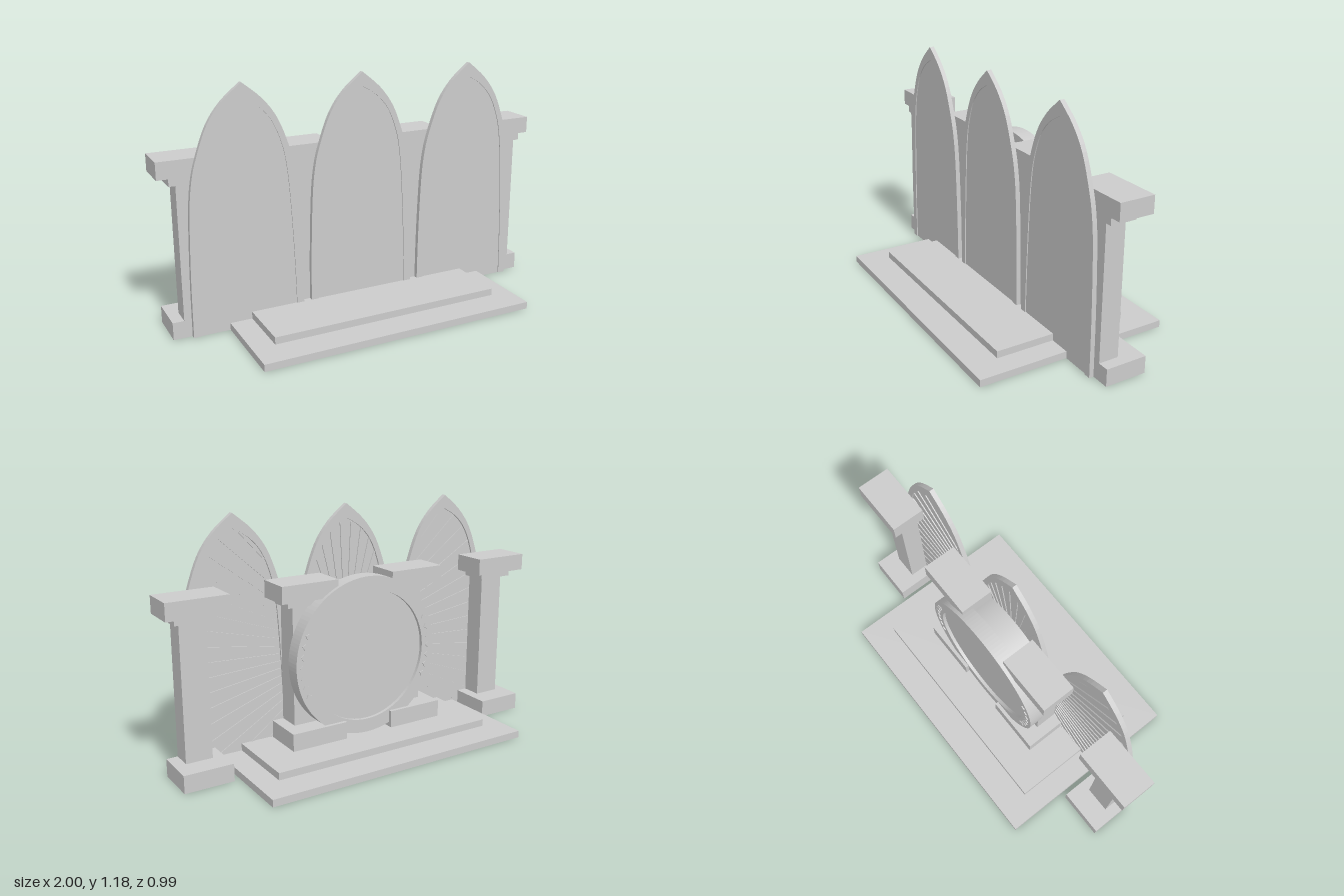
import * as THREE from 'three';

const material = new THREE.MeshStandardMaterial({ color: 0xcccccc });
const WALL = 0.03; // plane where columns meet the arches
const RING_Y = 0.465;

function add(parent, name, geometry, x = 0, y = 0, z = 0) {
  const mesh = new THREE.Mesh(geometry, material);
  mesh.name = name;
  mesh.position.set(x, y, z);
  parent.add(mesh);
  return mesh;
}

// box given by its limits
function block(parent, name, x0, x1, y0, y1, z0, z1) {
  return add(parent, name, new THREE.BoxGeometry(x1 - x0, y1 - y0, z1 - z0),
    (x0 + x1) / 2, (y0 + y1) / 2, (z0 + z1) / 2);
}

function extrude(shape, depth) {
  return new THREE.ExtrudeGeometry(shape, { depth, bevelEnabled: false, curveSegments: 64 });
}

// half outlines of a lancet arch, from foot to apex
const smoothOutline = (points) =>
  new THREE.SplineCurve(points.map(([x, y]) => new THREE.Vector2(x, y))).getPoints(28);
const outer = smoothOutline([[0.28, 0], [0.277, 0.3], [0.266, 0.6], [0.25, 0.75],
  [0.222, 0.86], [0.168, 1.0], [0.095, 1.1], [0, 1.18]]);
const inner = smoothOutline([[0.245, 0], [0.237, 0.3], [0.222, 0.6], [0.207, 0.77],
  [0.185, 0.88], [0.14, 0.99], [0.075, 1.065], [0, 1.11]]);
const mirrored = (half) => half.slice(0, -1).reverse().map((p) => new THREE.Vector2(-p.x, p.y));
const fullOutline = (half) => [...half, ...mirrored(half)];

function insideArch(x, y) {
  if (y < 0.02 || y > 1.1) return false;
  const i = inner.findIndex((p) => p.y >= y);
  if (i < 1) return false;
  const a = inner[i - 1], b = inner[i];
  return Math.abs(x) < a.x + (b.x - a.x) * (y - a.y) / (b.y - a.y);
}

function makeArch(cx) {
  const arch = new THREE.Group();
  arch.name = 'archPanel';
  const frame = new THREE.Shape([...fullOutline(outer), ...fullOutline(inner).reverse()]);
  add(arch, 'archFrame', extrude(frame, 0.023), cx, 0, WALL);
  add(arch, 'archInfill', extrude(new THREE.Shape(fullOutline(inner)), 0.009), cx, 0, 0.039);

  // thin sunburst ribs on the back, radiating from the ring centre
  const count = 64;
  for (let i = 0; i < count; i++) {
    const angle = ((i + 0.5) / count) * Math.PI * 2;
    const c = Math.cos(angle), s = Math.sin(angle);
    let start = null, end = null;
    for (let r = 0.3; r < 1.2; r += 0.005) {
      if (insideArch(r * c - cx, RING_Y + r * s)) {
        if (start === null) start = r;
        end = r;
      }
    }
    if (start === null || end - start < 0.03) continue;
    const mid = (start + end) / 2;
    add(arch, 'sunRib', new THREE.BoxGeometry(end - start, 0.007, 0.006),
      mid * c, RING_Y + mid * s, 0.037).rotation.z = angle;
  }
  return arch;
}

function makeColumn(cx, floor, baseX0, baseX1, shaftBack) {
  const column = new THREE.Group();
  column.name = 'column';
  const baseTop = floor + 0.086;
  block(column, 'columnBase', baseX0, baseX1, floor, baseTop, -0.18, WALL);
  block(column, 'columnShaft', cx - 0.065, cx + 0.065, baseTop, 0.74, shaftBack, WALL);
  block(column, 'capitalMoulding', cx - 0.095, cx + 0.095, 0.74, 0.775, -0.1, WALL);
  block(column, 'capital', cx - 0.148, cx + 0.148, 0.775, 0.858, -0.143, WALL);
  return column;
}

function makeRing() {
  const group = new THREE.Group();
  group.name = 'roundGate';
  const shape = new THREE.Shape().absarc(0, 0, 0.393, 0, Math.PI * 2);
  shape.holes.push(new THREE.Path().absarc(0, 0, 0.325, 0, Math.PI * 2, true));
  add(group, 'ring', extrude(shape, 0.077), 0, RING_Y, -0.162);
  add(group, 'ringDrum', new THREE.CylinderGeometry(0.35, 0.35, 0.12, 80), 0, RING_Y, -0.03)
    .rotation.x = Math.PI / 2;
  add(group, 'ringDisc', new THREE.CylinderGeometry(0.33, 0.33, 0.06, 80), 0, RING_Y, -0.115)
    .rotation.x = Math.PI / 2;

  // small studs along both sides of the ring face
  for (const side of [0, Math.PI]) {
    for (let i = -3; i <= 3; i++) {
      const angle = side + i * 0.14;
      const stud = add(group, 'ringStud', new THREE.BoxGeometry(0.022, 0.022, 0.008),
        0.36 * Math.cos(angle), RING_Y + 0.36 * Math.sin(angle), -0.163);
      stud.rotation.z = angle + Math.PI / 4;
    }
  }
  return group;
}

export function createModel() {
  const model = new THREE.Group();
  model.name = 'archedShrine';

  // stepped platform
  block(model, 'lowerStep', -0.7, 0.7, 0, 0.035, -0.495, 0.495);
  block(model, 'upperStep', -0.59, 0.59, 0.035, 0.07, -0.345, 0.345);

  for (const x of [-0.6, 0, 0.6]) model.add(makeArch(x));

  for (const s of [-1, 1]) {
    model.add(makeColumn(s * 0.85, 0, s * 0.85 - 0.12, s * 0.85 + 0.12, -0.07));
    const ends = [s * 0.13, s * 0.425].sort((a, b) => a - b);
    model.add(makeColumn(s * 0.302, 0.07, ends[0], ends[1], -0.085));
  }

  model.add(makeRing());
  return model;
}
